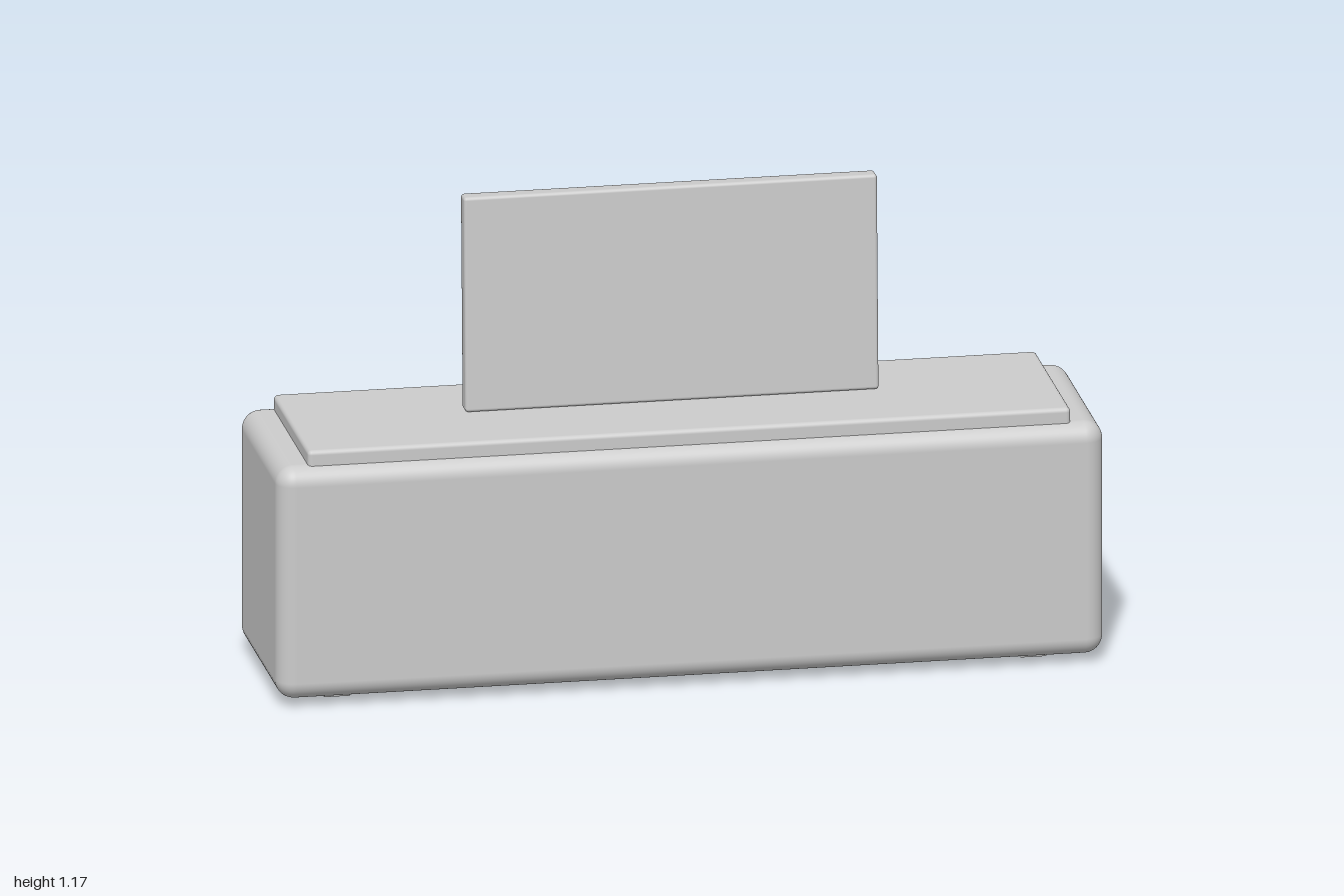
import * as THREE from 'three';
import { RoundedBoxGeometry } from 'three/addons/geometries/RoundedBoxGeometry.js';

export function createModel() {
  const model = new THREE.Group();
  const material = new THREE.MeshStandardMaterial({ color: 0xcccccc });

  // Rounded block placed by its centre
  function block(name, [w, h, d], radius, [x, y, z], segments = 3) {
    const mesh = new THREE.Mesh(new RoundedBoxGeometry(w, h, d, segments, radius), material);
    mesh.name = name;
    mesh.position.set(x, y, z);
    model.add(mesh);
    return mesh;
  }

  // Main housing
  block('body', [2, 0.58, 0.515], 0.045, [0, 0.31, 0], 6);

  // Raised plate on top, sunk slightly into the housing
  block('topPlate', [1.845, 0.055, 0.455], 0.011, [0, 0.6075, 0]);

  // Upright panel leaning slightly back
  const panel = block('panel', [1, 0.53, 0.046], 0.008, [0, 0.9, -0.0295]);
  panel.rotation.x = -0.04;

  // Four small feet, sunk slightly into the housing
  for (const x of [-0.842, 0.842]) {
    for (const z of [-0.14, 0.14]) {
      block('foot', [0.066, 0.03, 0.066], 0.005, [x, 0.015, z], 2);
    }
  }

  return model;
}
